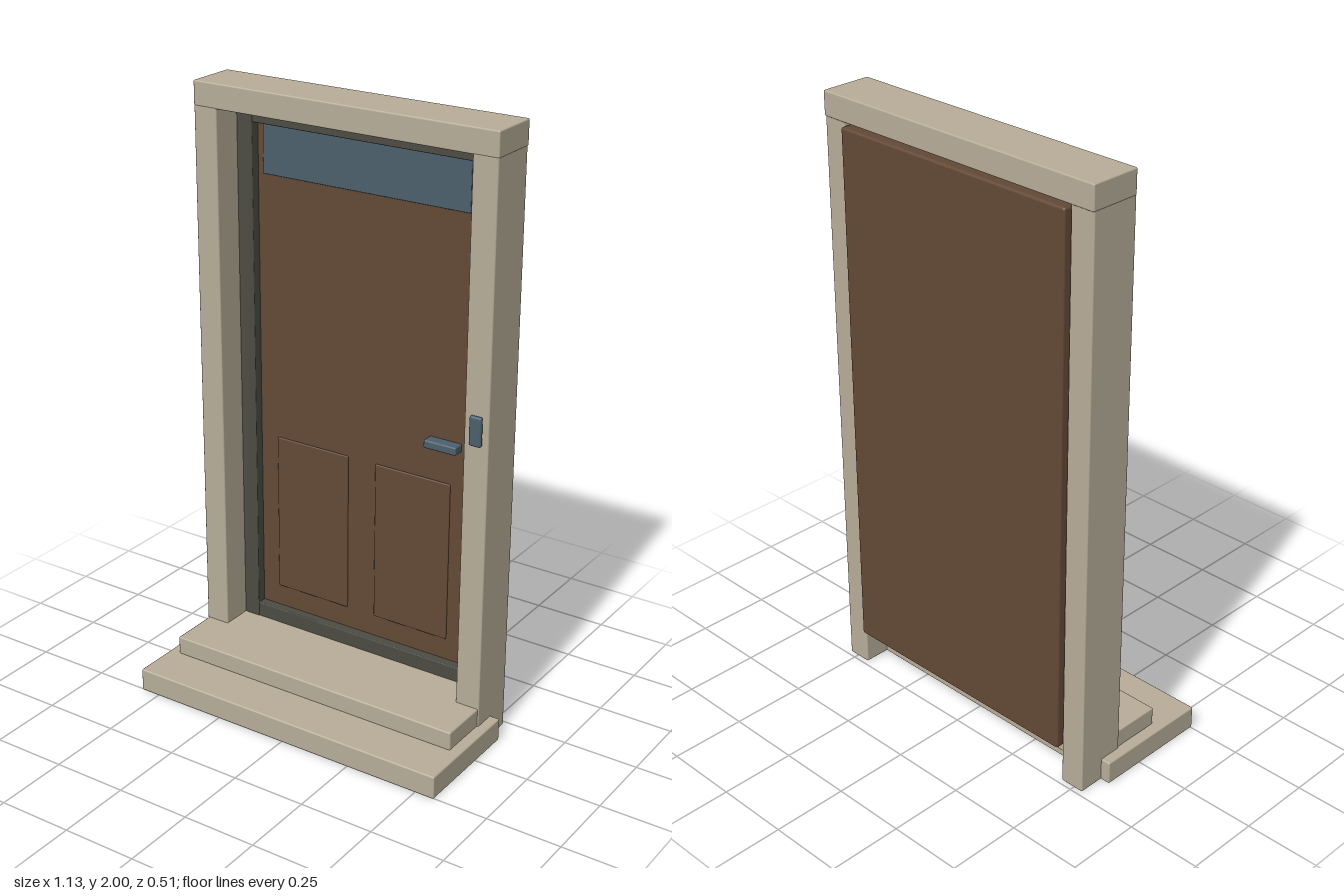
import * as THREE from 'three';
import { RoundedBoxGeometry } from 'three/addons/geometries/RoundedBoxGeometry.js';

const material = (name, color) => {
  const m = new THREE.MeshStandardMaterial({ color });
  m.name = name;
  return m;
};

export function createModel() {
  const model = new THREE.Group();
  model.name = 'frontDoor';

  const stone = material('stone', 0xb7ad98);
  const wood = material('brownWood', 0x634936);
  const trim = material('darkTrim', 0x4c4c43);
  const slate = material('slateBlue', 0x4b5f6b);

  // Softly bevelled box given by its limits on each axis
  const box = (name, mat, [x0, x1], [y0, y1], [z0, z1], bevel = 0.005) => {
    const geometry = new RoundedBoxGeometry(x1 - x0, y1 - y0, z1 - z0, 2, bevel);
    const mesh = new THREE.Mesh(geometry, mat);
    mesh.name = name;
    mesh.position.set((x0 + x1) / 2, (y0 + y1) / 2, (z0 + z1) / 2);
    model.add(mesh);
  };

  // Steps
  box('lowerStep', stone, [-0.567, 0.567], [0, 0.078], [-0.147, 0.255]);
  box('upperStep', stone, [-0.53, 0.53], [0.076, 0.14], [-0.2, 0.1]);

  // Outer surround and inner trim, mirrored left and right
  for (const side of [-1, 1]) {
    const span = (a, b) => (side > 0 ? [a, b] : [-b, -a]);
    const label = side > 0 ? 'left' : 'right';
    box(label + 'Jamb', stone, span(0.45, 0.534), [0, 1.925], [-0.235, -0.067]);
    box(label + 'Trim', trim, span(0.394, 0.452), [0.135, 1.922], [-0.21, -0.172], 0.003);
    // Raised lower panel
    box(label + 'Panel', wood, span(0.052, 0.329), [0.264, 0.814], [-0.215, -0.2], 0.004);
  }
  box('header', stone, [-0.535, 0.535], [1.92, 2], [-0.239, -0.067]);
  box('topTrim', trim, [-0.396, 0.396], [1.866, 1.922], [-0.21, -0.174], 0.003);
  box('bottomTrim', trim, [-0.396, 0.396], [0.135, 0.19], [-0.21, -0.174], 0.003);

  // Door leaf with its window and handle
  box('doorLeaf', wood, [-0.446, 0.446], [0.13, 1.912], [-0.255, -0.205], 0.008);
  box('windowPane', slate, [-0.373, 0.373], [1.7, 1.865], [-0.209, -0.2], 0.003);
  box('doorHandle', slate, [0.25, 0.366], [0.934, 0.962], [-0.207, -0.165], 0.006);

  // Doorbell on the left jamb
  box('doorbell', slate, [0.477, 0.519], [1.043, 1.14], [-0.06, -0.045], 0.007);
  box('doorbellMount', slate, [0.488, 0.508], [1.065, 1.118], [-0.07, -0.055], 0.002);

  return model;
}
